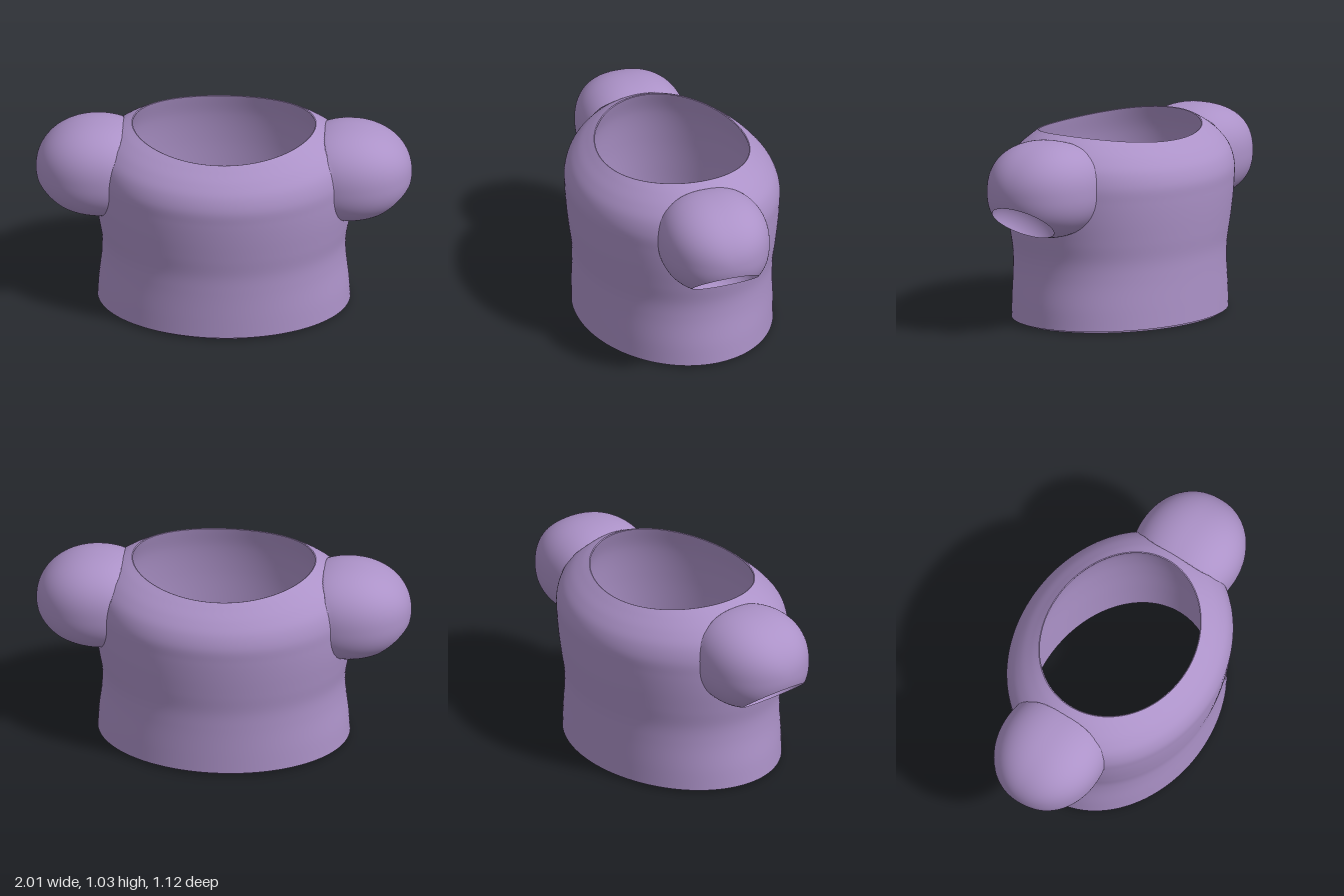
import * as THREE from 'three';

const material = new THREE.MeshStandardMaterial({ color: 0xac92c8, side: THREE.DoubleSide });

// Body sections: half width, height, half depth
const OUTER = [
  [0.675, 0.012, 0.521], [0.668, 0.12, 0.521], [0.652, 0.27, 0.521], [0.652, 0.37, 0.524],
  [0.67, 0.48, 0.538], [0.688, 0.6, 0.551], [0.697, 0.7, 0.558], [0.698, 0.78, 0.559],
  [0.677, 0.85, 0.537], [0.625, 0.91, 0.493], [0.553, 0.96, 0.44], [0.492, 0.99, 0.406],
];
const INNER = [
  [0.59, 0.004, 0.45], [0.586, 0.25, 0.451], [0.58, 0.5, 0.452],
  [0.565, 0.7, 0.447], [0.535, 0.86, 0.43], [0.486, 0.988, 0.401],
];
const STEP = [0.648, 0.01, 0.508];
const HEM = [0.645, 0, 0.505];

// The neckline rises towards both shoulders
const lift = (y) => 0.045 * THREE.MathUtils.smoothstep(y, 0.6, 0.99);

// Grid surface closed around v: point(u 0..1, angle) -> Vector3
function loft(name, rows, cols, point) {
  const pos = [], index = [];
  for (let i = 0; i <= rows; i++) {
    for (let j = 0; j < cols; j++) pos.push(...point(i / rows, (j / cols) * Math.PI * 2).toArray());
  }
  for (let i = 0; i < rows; i++) {
    for (let j = 0; j < cols; j++) {
      const a = i * cols + j, b = i * cols + ((j + 1) % cols);
      index.push(a, a + cols, b, b, a + cols, b + cols);
    }
  }
  const geo = new THREE.BufferGeometry();
  geo.setAttribute('position', new THREE.Float32BufferAttribute(pos, 3));
  geo.setIndex(index);
  geo.computeVertexNormals();
  const mesh = new THREE.Mesh(geo, material);
  mesh.name = name;
  return mesh;
}

// Elliptical wall through a list of sections
function wall(name, sections, rows, inward = false) {
  const curve = new THREE.CatmullRomCurve3(sections.map((s) => new THREE.Vector3(...s)));
  return loft(name, rows, 128, (u, a) => {
    const s = curve.getPoint(inward ? 1 - u : u);
    const c = Math.cos(a);
    return new THREE.Vector3(s.x * c, s.y + lift(s.y) * c * c, -s.z * Math.sin(a));
  });
}

// Body half width and half depth at a height near the shoulder
function bodyRadii(height) {
  const y = height - lift(height);
  let k = 1;
  while (k < OUTER.length - 1 && OUTER[k][1] < y) k++;
  const [a, b] = [OUTER[k - 1], OUTER[k]];
  const t = THREE.MathUtils.clamp((y - a[1]) / (b[1] - a[1]), 0, 1);
  return [a[0] + (b[0] - a[0]) * t, a[2] + (b[2] - a[2]) * t];
}

// Keep sleeve points from entering the hollow body
function keepOutside(p) {
  const [rx, rz] = bodyRadii(p.y);
  const e = Math.hypot(p.x / rx, p.z / rz);
  if (e < 0.99) {
    p.x *= 0.99 / e;
    p.z *= 0.99 / e;
  }
  return p;
}

const PUFF = new THREE.Vector3(0.67, 0.773, 0);
const PUFF_R = new THREE.Vector3(0.33, 0.258, 0.293);
const CUFF = new THREE.Vector3(0.872, 0.618, 0);
const CUFF_AXIS = new THREE.Vector3(-0.605, 0.796, 0);

// Distance from the puff centre: squarish seen from the side, round seen from above
function puffRadius(d) {
  const n = 2.35, m = 2.08;
  const section = Math.abs(d.y / PUFF_R.y) ** n + Math.abs(d.z / PUFF_R.z) ** n;
  return (Math.abs(d.x / PUFF_R.x) ** m + section ** (m / n)) ** (-1 / m);
}

const cuffPoint = (a) =>
  new THREE.Vector3(0.127 * Math.cos(a), 0.097 * Math.cos(a), 0.182 * Math.sin(a)).add(CUFF);

// Point on the puff: u = 0 at the cuff opening, u = 1 at the far pole
function puffPoint(u, a) {
  const rim = cuffPoint(a).sub(PUFF);
  const rimDir = rim.clone().normalize();
  const pole = PUFF.clone().sub(CUFF).normalize();
  const t = rimDir.angleTo(pole) * (1 - u);
  const side = rimDir.clone().addScaledVector(pole, -rimDir.dot(pole)).normalize();
  const dir = pole.multiplyScalar(Math.cos(t)).addScaledVector(side, Math.sin(t));
  const r = puffRadius(dir) + (rim.length() - puffRadius(rimDir)) * (1 - u) ** 6;
  return dir.multiplyScalar(r).add(PUFF);
}

// Point on the rounded hollow behind the cuff opening
function hollowPoint(u, a) {
  const t = (u * Math.PI) / 2;
  return cuffPoint(a).sub(CUFF).multiplyScalar(Math.cos(t))
    .addScaledVector(CUFF_AXIS, 0.16 * Math.sin(t)).add(CUFF);
}

function sleeve(name, s) {
  const place = (p) => p.setX(p.x * s);
  const group = new THREE.Group();
  group.name = name;
  group.add(
    loft('puff', 80, 96, (u, a) => place(keepOutside(puffPoint(u, -a * s)))),
    loft('cuffHollow', 24, 96, (u, a) => place(hollowPoint(u, a * s))),
  );
  return group;
}

export function createModel() {
  const model = new THREE.Group();
  model.name = 'puffSleeveTop';
  model.add(
    wall('body', OUTER, 72, true),
    wall('bodyLining', INNER, 56),
    // Rims joining the two walls
    wall('neckRim', [INNER.at(-1), OUTER.at(-1)], 1),
    wall('hemStep', [OUTER[0], STEP], 1),
    wall('hemEdge', [STEP, HEM], 1),
    wall('hemRim', [HEM, INNER[0]], 1),
    sleeve('leftSleeve', 1),
    sleeve('rightSleeve', -1),
  );
  return model;
}
